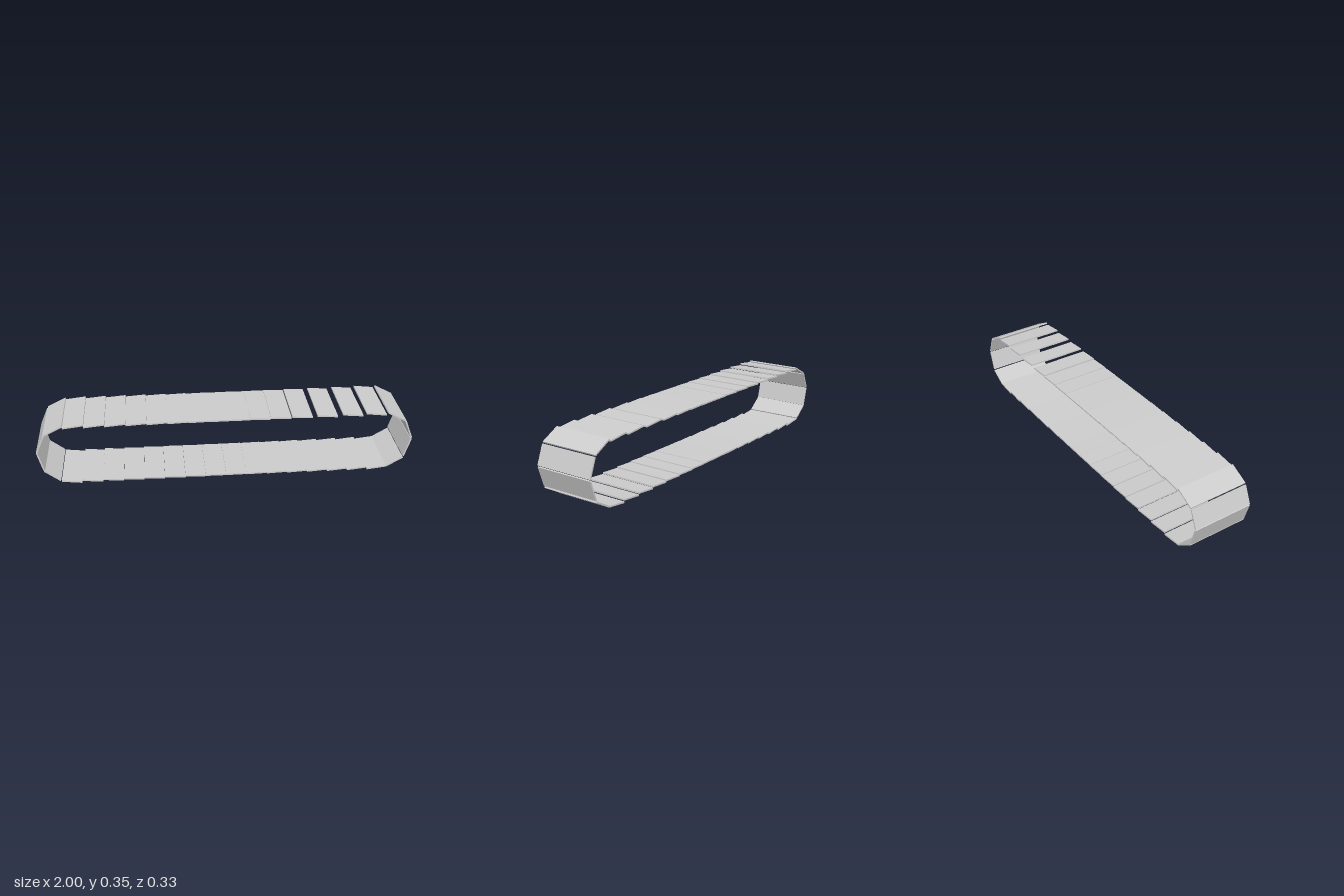
import * as THREE from 'three';

const WIDTH = 0.33, THICK = 0.008, LENGTH = 0.109;

export function createModel() {
  const track = new THREE.Group();
  track.name = 'track';
  const material = new THREE.MeshStandardMaterial({ color: 0xcccccc, flatShading: true });

  // One flat track plate, placed by centre, length and tilt
  function plate(name, x, y, length, angle) {
    const mesh = new THREE.Mesh(new THREE.BoxGeometry(length, THICK, WIDTH), material);
    mesh.name = name;
    mesh.position.set(x, y, 0);
    mesh.rotation.z = angle;
    track.add(mesh);
  }

  // Plates tilt more and more towards the ends of each run
  const tilt = x => 0.115 * THREE.MathUtils.clamp(x / 0.8, -1, 1);

  // Upper run: overlapping on the left, opening into gaps on the right
  const upper = [];
  for (let i = 0; i < 11; i++) upper.push(-0.8 + i * 0.1085);
  upper.push(0.398, 0.532, 0.668, 0.794);
  upper.forEach((x, i) => plate('upperPlate' + i, x, 0.339, LENGTH, -tilt(x)));

  // Lower run
  for (let i = 0; i < 16; i++) {
    const x = -0.828 + i * 0.1098;
    plate('lowerPlate' + i, x, 0.0105, LENGTH, tilt(x));
  }

  // Plates wrapping round the two ends: x1, y1, x2, y2
  const ends = [
    [-0.855, 0.344, -0.953, 0.294], [-0.956, 0.288, -0.996, 0.196],
    [-0.996, 0.192, -0.967, 0.086], [-0.967, 0.083, -0.886, 0.021],
    [0.858, 0.344, 0.956, 0.292], [0.958, 0.286, 0.996, 0.187],
    [0.995, 0.181, 0.961, 0.076], [0.960, 0.068, 0.868, 0.015],
  ];
  ends.forEach(([x1, y1, x2, y2], i) => plate('endPlate' + i, (x1 + x2) / 2, (y1 + y2) / 2,
    Math.hypot(x2 - x1, y2 - y1), Math.atan2(y2 - y1, x2 - x1)));

  return track;
}
